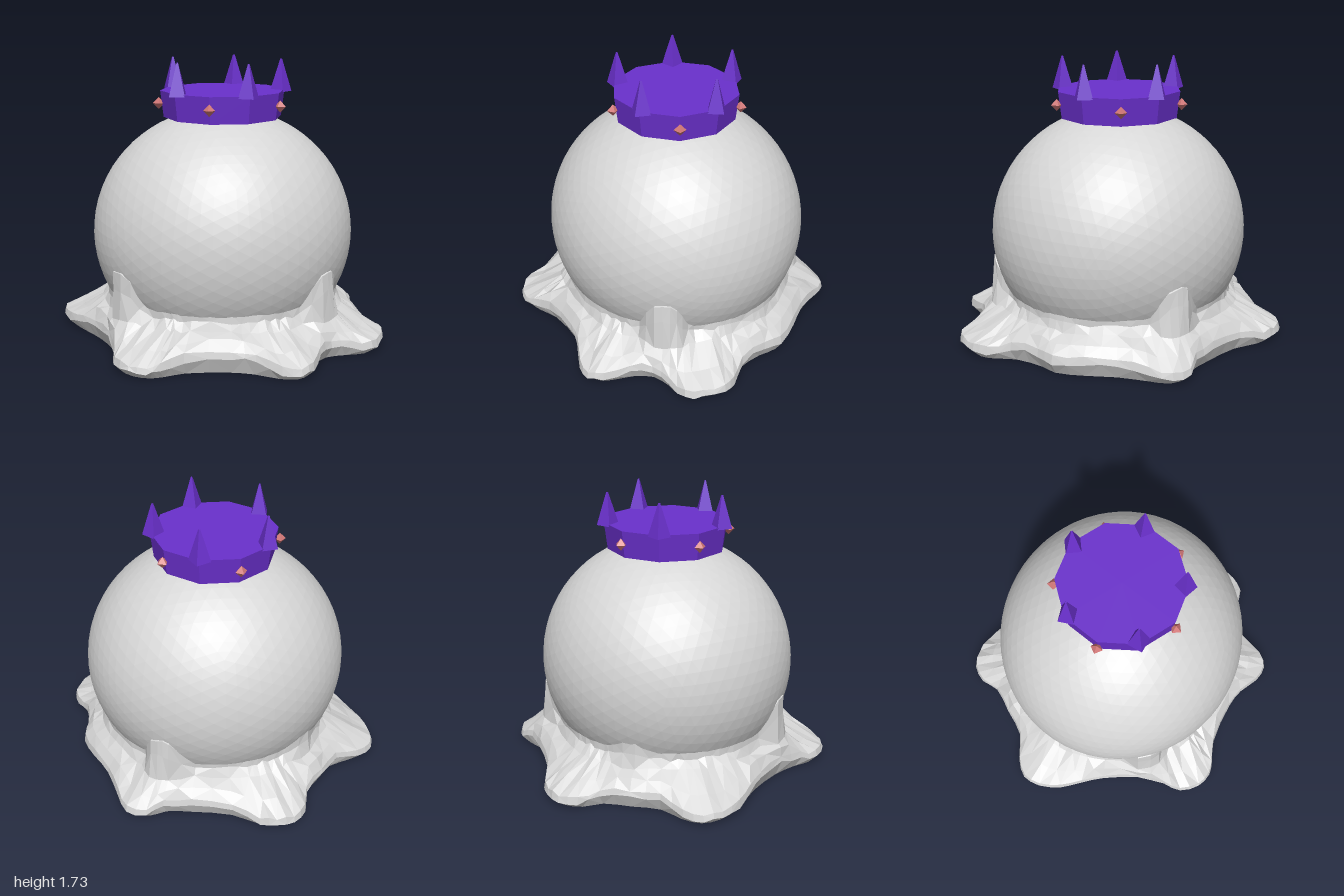
import * as THREE from 'three';

const CX = 0.035, CZ = 0.008; // shared axis of the body and crown
const BODY = { y: 0.65, rx: 0.817, ry: 0.775, rz: 0.788 };

// Lobed rim of the puddle, as x, z pairs seen from above
const RIM = [
  0.9, 0, 0.91, 0.2, 0.98, 0.33, 1, 0.42, 0.95, 0.55, 0.88, 0.63, 0.75, 0.645, 0.62, 0.67,
  0.53, 0.77, 0.46, 0.92, 0.38, 0.98, 0.27, 0.96, 0.13, 0.88, 0, 0.84, -0.28, 0.82,
  -0.42, 0.86, -0.5, 0.87, -0.6, 0.83, -0.68, 0.72, -0.68, 0.6, -0.71, 0.42, -0.8, 0.2,
  -0.88, 0.07, -0.96, -0.06, -1, -0.2, -0.98, -0.32, -0.88, -0.4, -0.72, -0.46, -0.6, -0.6,
  -0.48, -0.74, -0.45, -0.87, -0.37, -0.96, -0.26, -0.98, -0.16, -0.96, 0, -0.87,
  0.25, -0.82, 0.42, -0.8, 0.53, -0.83, 0.65, -0.78, 0.7, -0.65, 0.76, -0.47, 0.85, -0.3,
  0.92, -0.12,
];

// Angles and strengths of the ridges that climb the body
const RIDGES = [[0.78, 1], [2.57, 1], [-1.06, 0.95], [-2.33, 0.3]];

function ridgeAt(angle) {
  let sum = 0;
  for (const [centre, strength] of RIDGES) {
    const d = Math.atan2(Math.sin(angle - centre), Math.cos(angle - centre));
    sum += strength * Math.exp(-((d / 0.16) ** 4));
  }
  return Math.min(sum, 1);
}

function seeded(seed) {
  return () => {
    seed = (seed * 16807) % 2147483647;
    return seed / 2147483647 - 0.5;
  };
}

// Rim points with one smooth in-between point after each
function rimPoints() {
  const corners = [];
  for (let i = 0; i < RIM.length; i += 2) corners.push(new THREE.Vector3(RIM[i], 0, RIM[i + 1]));
  const curve = new THREE.CatmullRomCurve3(corners, true);
  return curve.getPoints(corners.length * 2).slice(0, -1);
}

// Loft from the flat underside, over the rim, up to the collar on the body
function puddleGeometry() {
  const rand = seeded(41);
  const jitter = () => rand() * 0.024;
  const pos = [CX, 0, CZ], index = [];
  const columns = rimPoints().map((p) => {
    const dx = p.x - CX, dz = p.z - CZ;
    const r = Math.hypot(dx, dz), a = Math.atan2(dz, dx);
    const ridge = ridgeAt(a);
    const bodyRadius = (y) => {
      const k = Math.sqrt(1 - ((y - BODY.y) / BODY.ry) ** 2);
      return k / Math.hypot(Math.cos(a) / BODY.rx, Math.sin(a) / BODY.rz);
    };
    const edge = 0.085 + 0.06 * THREE.MathUtils.clamp((0.98 - r) / 0.15, 0, 1);
    const collarY = 0.27 + 0.13 * ridge;
    const collarR = bodyRadius(collarY) + 0.02 + 0.025 * ridge;
    const outer = Math.max(r, collarR);
    const topY = 0.33 + 0.18 * ridge;
    return [
      [r * 0.945, 0],
      [r * 0.995, edge - 0.04 + jitter()],
      [r * 0.985, edge + jitter()],
      [THREE.MathUtils.lerp(outer, collarR, 0.4), edge + 0.055 + jitter()],
      [THREE.MathUtils.lerp(outer, collarR, 0.85), 0.22 + jitter()],
      [collarR + jitter() * 0.5, collarY + jitter()],
      [bodyRadius(topY) - 0.012 + 0.02 * ridge, topY + jitter()],
      [bodyRadius(topY) - 0.04, topY + 0.015],
    ].map(([q, y]) => [CX + (q * dx) / r, y, CZ + (q * dz) / r]);
  });
  const n = columns.length, rows = columns[0].length;
  for (let k = 0; k < rows; k++) for (const c of columns) pos.push(...c[k]);
  for (let i = 0; i < n; i++) {
    const next = (i + 1) % n;
    index.push(0, 1 + i, 1 + next);
    for (let k = 0; k < rows - 1; k++) {
      const a = 1 + k * n + i, b = 1 + k * n + next, c = a + n, d = b + n;
      if ((i + k) % 2) index.push(a, c, b, b, c, d);
      else index.push(a, c, d, a, d, b);
    }
  }
  const g = new THREE.BufferGeometry();
  g.setAttribute('position', new THREE.Float32BufferAttribute(pos, 3));
  g.setIndex(index);
  const flat = g.toNonIndexed();
  flat.computeVertexNormals();
  return flat;
}

// Faceted ball, cut flat below where it sinks into the puddle
function bodyGeometry() {
  const g = new THREE.IcosahedronGeometry(1, 11);
  g.scale(BODY.rx, BODY.ry, BODY.rz);
  const p = g.attributes.position;
  for (let i = 0; i < p.count; i++) p.setY(i, Math.max(p.getY(i), 0.1 - BODY.y));
  g.computeVertexNormals();
  return g;
}

function flatMaterial(name, color) {
  const m = new THREE.MeshStandardMaterial({ color, flatShading: true });
  m.name = name;
  return m;
}

export function createModel() {
  const model = new THREE.Group();
  model.name = 'crownedBlob';
  const grey = flatMaterial('slimeGrey', 0xd6d6d6);
  const purple = flatMaterial('crownPurple', 0x6a30cc);
  const pink = flatMaterial('gemPink', 0xd07676);

  const add = (parent, name, geometry, material, x, y, z) => {
    const mesh = new THREE.Mesh(geometry, material);
    mesh.name = name;
    mesh.position.set(x, y, z);
    parent.add(mesh);
    return mesh;
  };

  // Round body and the puddle it sits in
  add(model, 'body', bodyGeometry(), grey, CX, BODY.y, CZ);
  add(model, 'puddle', puddleGeometry(), grey, 0, 0, 0);

  // Ten-sided crown, with spikes and gems on alternate corners
  const crown = new THREE.Group();
  crown.name = 'crown';
  crown.position.set(CX, 0, CZ);
  model.add(crown);
  const band = new THREE.CylinderGeometry(0.388, 0.368, 0.165, 10);
  band.rotateY(Math.PI / 2);
  add(crown, 'crownBand', band, purple, 0, 1.4575, 0);

  const spike = new THREE.CylinderGeometry(0.006, 0.068, 0.2, 4);
  const gem = new THREE.OctahedronGeometry(0.037);
  for (let i = 0; i < 10; i++) {
    const a = (i * Math.PI) / 5;
    const isSpike = i % 2 === 0;
    const r = isSpike ? 0.364 : 0.397;
    const mesh = add(crown, isSpike ? 'crownSpike' : 'crownGem', isSpike ? spike : gem,
      isSpike ? purple : pink, r * Math.cos(a), isSpike ? 1.627 : 1.462, r * Math.sin(a));
    mesh.rotation.y = -a;
  }
  return model;
}
